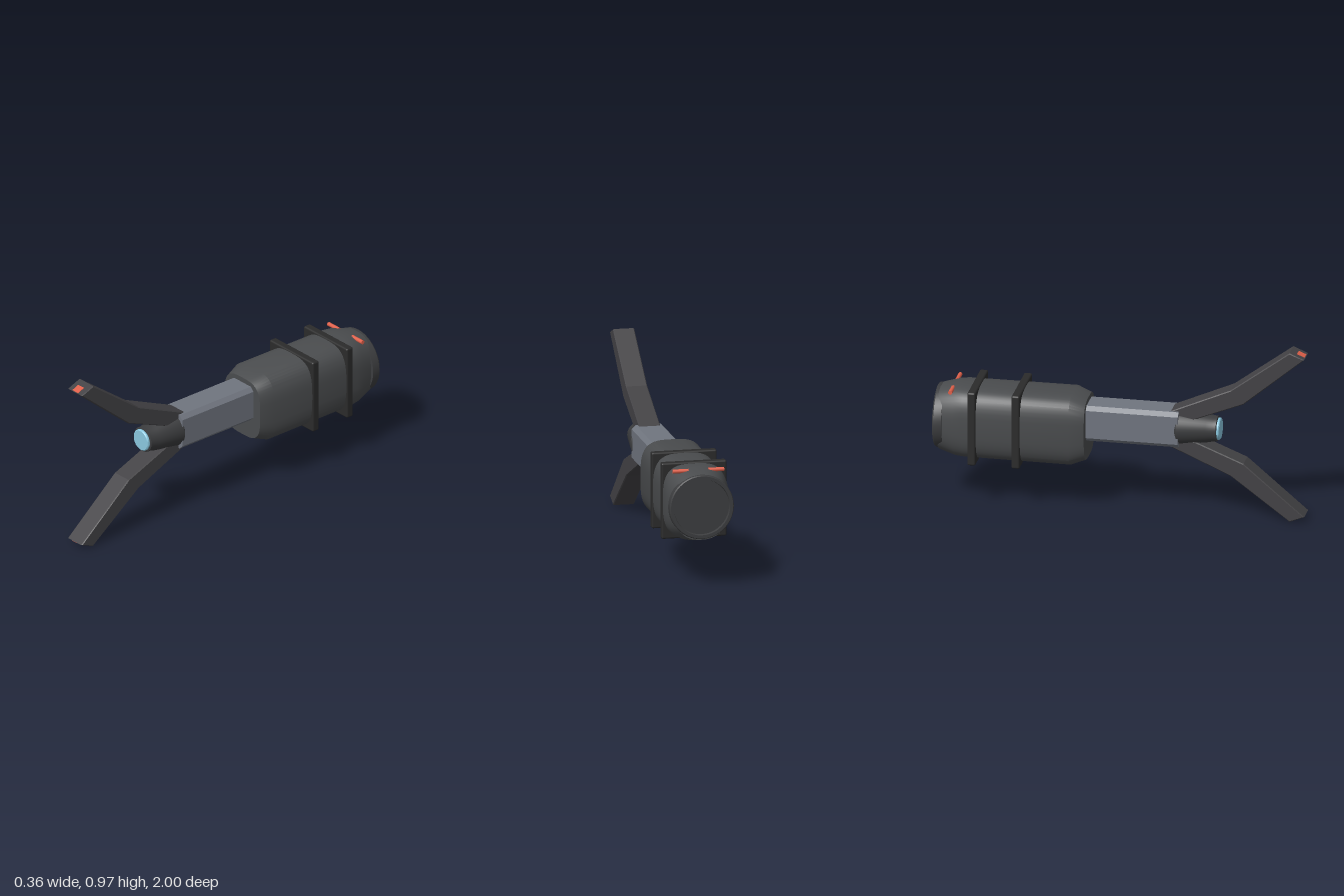
import * as THREE from 'three';
import { toCreasedNormals } from 'three/addons/utils/BufferGeometryUtils.js';
import { RoundedBoxGeometry } from 'three/addons/geometries/RoundedBoxGeometry.js';

const mat = (color) => new THREE.MeshStandardMaterial({ color });
const shell = mat(0x4a4c4e), dark = mat(0x2b2b2b), steel = mat(0x70757f);
const armGrey = mat(0x434245), glass = mat(0x8ac8e0), orange = mat(0xe0604a);

const BODY_Y = 0.448, AXIS_Y = 0.487;

// Superellipse sections [z, halfWidth, halfHeight, exponent], ordered front to back
function loft(sections, sides = 48) {
  const pos = [], idx = [], row = sides + 1;
  const bend = (v, n) => Math.sign(v) * Math.abs(v) ** (2 / n);
  for (const [z, w, h, n] of sections)
    for (let j = 0; j <= sides; j++) {
      const t = (j / sides) * Math.PI * 2;
      pos.push(w * bend(Math.cos(t), n), h * bend(Math.sin(t), n), z);
    }
  for (let i = 0; i < sections.length - 1; i++)
    for (let j = 0; j < sides; j++) {
      const a = i * row + j, c = a + row;
      idx.push(a, c, a + 1, a + 1, c, c + 1);
    }
  const g = new THREE.BufferGeometry();
  g.setAttribute('position', new THREE.Float32BufferAttribute(pos, 3));
  g.setIndex(idx);
  g.computeVertexNormals();
  return toCreasedNormals(g, 0.4);
}

// Revolve [radius, z] points about the z axis, ordered back to front
function turned(points) {
  const g = new THREE.LatheGeometry(points.map(([r, z]) => new THREE.Vector2(r, z)), 40);
  return toCreasedNormals(g.rotateX(Math.PI / 2), 0.5);
}

// Extrude a [z, y] outline across x, centred, with small bevelled edges
function slab(points, width, bevel) {
  const shape = new THREE.Shape(points.map(([z, y]) => new THREE.Vector2(z, y)));
  const g = new THREE.ExtrudeGeometry(shape, {
    depth: width - 2 * bevel, bevelEnabled: true, bevelSegments: 1,
    bevelSize: bevel, bevelThickness: bevel, bevelOffset: -bevel,
  });
  return g.translate(0, 0, bevel - width / 2).rotateY(-Math.PI / 2);
}

export function createModel() {
  const model = new THREE.Group();
  const add = (name, geometry, material, x = 0, y = 0, z = 0) => {
    const mesh = new THREE.Mesh(geometry, material);
    mesh.name = name;
    mesh.position.set(x, y, z);
    model.add(mesh);
    return mesh;
  };

  // Main housing, blending to a round rear
  add('housing', loft([
    [-0.18, 0, 0, 3.4],
    [-0.18, 0.145, 0.17, 3.4],
    [-0.26, 0.172, 0.2, 3.4],
    [-0.84, 0.172, 0.2, 3.2],
    [-0.89, 0.17, 0.2, 2.8],
    [-0.98, 0.15, 0.178, 2.4],
    [-0.98, 0, 0, 2.4],
  ]), shell, 0, BODY_Y);

  // Round rear cap with a raised rim
  add('rearCap', turned([
    [0, -0.985], [0.15, -0.985], [0.153, -1], [0.17, -1], [0.175, -0.993], [0.175, -0.95], [0, -0.95],
  ]), mat(0x3d3e40), 0, BODY_Y + 0.004);

  // Square bands around the housing
  for (const z of [-0.545, -0.785])
    add('band', new RoundedBoxGeometry(0.356, 0.416, 0.045, 2, 0.01), dark, 0, BODY_Y, z);

  // Small marker lights on the rear top corners
  for (const side of [-1, 1]) {
    const light = add('markerLight', new THREE.CylinderGeometry(0.011, 0.011, 0.085, 16), orange,
      side * 0.097, 0.634, -0.907);
    light.rotation.z = Math.PI / 2;
  }

  // Chamfered neck
  const w = 0.09, h = 0.1, c = 0.022;
  const neckShape = new THREE.Shape([
    [w, c - h], [w, h - c], [w - c, h], [c - w, h], [-w, h - c], [-w, c - h], [c - w, -h], [w - c, -h],
  ].map(([x, y]) => new THREE.Vector2(x, y)));
  add('neck', new THREE.ExtrudeGeometry(neckShape, { depth: 0.54, bevelEnabled: false }),
    steel, 0, 0.49, -0.22);

  // Tapered nozzle and glass lens
  add('nozzle', turned([
    [0, 0.3], [0.09, 0.3], [0.1, 0.31], [0.078, 0.465], [0.07, 0.5], [0.07, 0.52], [0.062, 0.523], [0, 0.523],
  ]), mat(0x3b3c3e), 0, AXIS_Y);
  add('lens', turned([[0, 0.515], [0.06, 0.515], [0.06, 0.532], [0.055, 0.537], [0, 0.537]]), glass, 0, AXIS_Y);

  // Upper and lower prongs with coloured tips; y is measured from the axis
  const outline = [
    [0.27, 0.1], [0.6, 0.245], [0.92, 0.483], [1, 0.45], [0.67, 0.17], [0.41, 0.065], [0.3, 0.03],
  ];
  for (const s of [1, -1]) {
    const flip = ([z, y]) => [z, y * s];
    add(s > 0 ? 'upperProng' : 'lowerProng', slab(outline.map(flip), 0.116, 0.005), armGrey, 0, AXIS_Y);
    const tip = add('prongTip', new THREE.BoxGeometry(0.046, 0.006, 0.045), orange,
      0, AXIS_Y + s * 0.4595, 0.975);
    tip.rotation.x = s * Math.atan2(0.033, 0.08);
  }
  return model;
}
